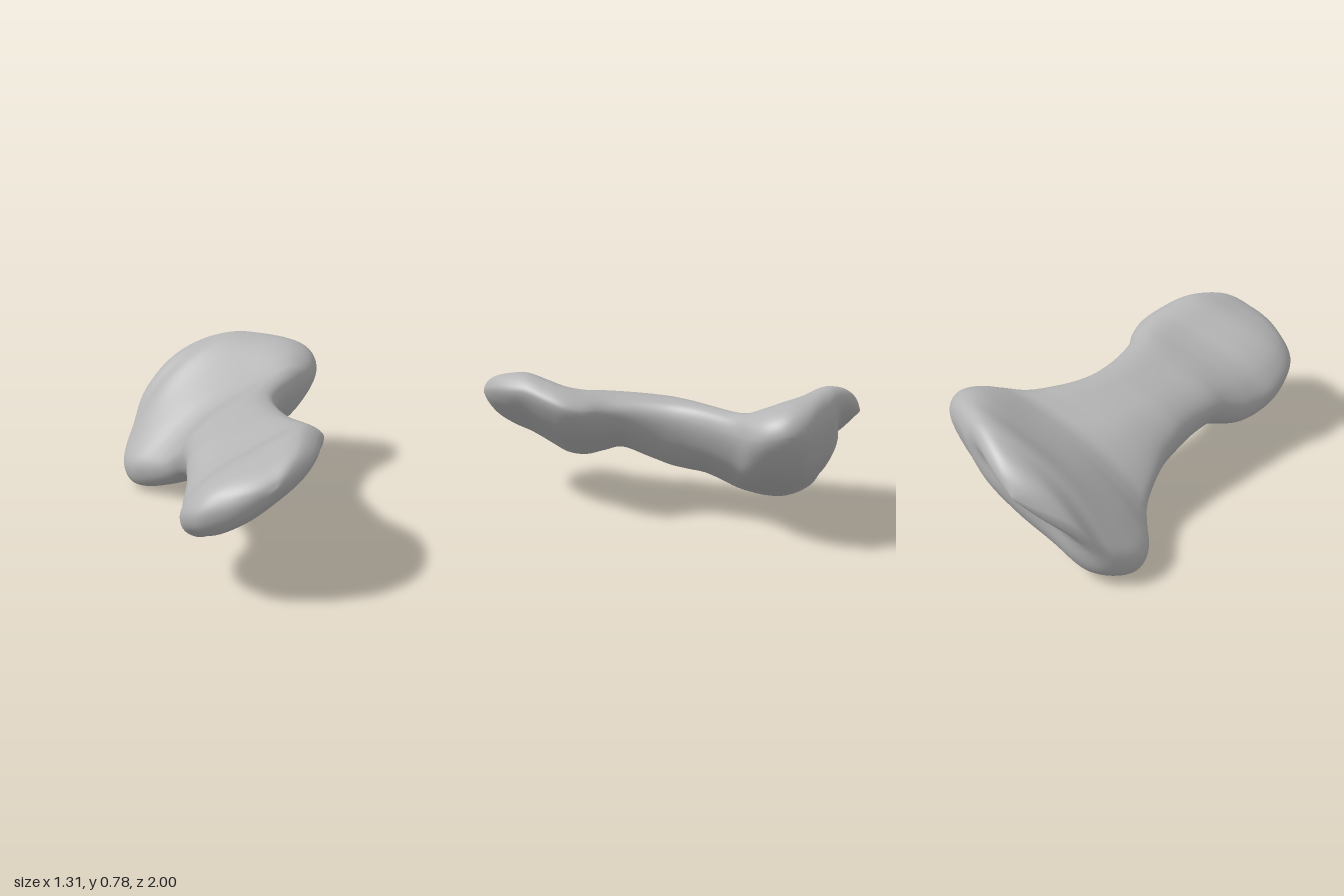
import * as THREE from 'three';

const AROUND = 72;
const STEPS = 120;

// Outlines of the front knuckle, the shaft, the flaring neck and the back joint,
// each counter-clockwise from its right-hand corner
const OUTLINES = [
  [[0.16, 0.68], [0.12, 0.735], [0.02, 0.775], [-0.22, 0.70], [-0.475, 0.59], [-0.59, 0.50],
    [-0.655, 0.39], [-0.635, 0.29], [-0.55, 0.23], [-0.4, 0.25], [-0.16, 0.37], [0.08, 0.54]],
  [[0.165, 0.58], [0.13, 0.65], [0.04, 0.67], [-0.12, 0.63], [-0.27, 0.56], [-0.35, 0.48],
    [-0.37, 0.4], [-0.33, 0.29], [-0.22, 0.23], [-0.08, 0.27], [0.05, 0.36], [0.13, 0.46]],
  [[0.65, 0.63], [0.61, 0.72], [0.47, 0.76], [0.2, 0.66], [-0.12, 0.50], [-0.38, 0.28],
    [-0.47, 0.15], [-0.44, 0.04], [-0.28, 0.01], [-0.04, 0.11], [0.27, 0.25], [0.52, 0.42]],
  [[0.65, 0.64], [0.61, 0.73], [0.48, 0.78], [0.2, 0.72], [-0.14, 0.54], [-0.4, 0.29],
    [-0.48, 0.16], [-0.44, 0.04], [-0.28, 0.0], [-0.04, 0.11], [0.27, 0.25], [0.52, 0.42]],
].map((points) => new THREE.CatmullRomCurve3(
  points.map(([x, y]) => new THREE.Vector3(x, y, 0)), true, 'centripetal'));

// Cross-sections from the front end to the back end:
// z, x min, x max, y min, y max, outline (0 knuckle, 1 shaft, 2 neck, 3 joint)
const SECTIONS = [
  [1.0, -0.34, -0.30, 0.60, 0.63, 0],
  [0.98, -0.44, -0.22, 0.53, 0.68, 0],
  [0.93, -0.54, -0.12, 0.45, 0.73, 0],
  [0.85, -0.63, -0.03, 0.38, 0.76, 0],
  [0.75, -0.655, 0.04, 0.33, 0.775, 0],
  [0.64, -0.64, 0.11, 0.27, 0.75, 0],
  [0.55, -0.595, 0.15, 0.23, 0.725, 0],
  [0.45, -0.55, 0.15, 0.23, 0.705, 0.2],
  [0.35, -0.49, 0.12, 0.27, 0.695, 0.5],
  [0.25, -0.45, 0.115, 0.305, 0.685, 0.75],
  [0.12, -0.40, 0.13, 0.27, 0.677, 0.95],
  [0.0, -0.37, 0.165, 0.23, 0.67, 1],
  [-0.1, -0.345, 0.22, 0.205, 0.665, 1.15],
  [-0.2, -0.34, 0.31, 0.18, 0.66, 1.4],
  [-0.3, -0.345, 0.43, 0.13, 0.66, 1.7],
  [-0.37, -0.365, 0.56, 0.09, 0.68, 1.9],
  [-0.45, -0.41, 0.63, 0.05, 0.72, 2],
  [-0.55, -0.47, 0.65, 0.01, 0.755, 2.1],
  [-0.65, -0.48, 0.60, 0.0, 0.77, 2.5],
  [-0.75, -0.43, 0.47, 0.04, 0.78, 2.9],
  [-0.82, -0.37, 0.38, 0.12, 0.77, 3],
  [-0.9, -0.27, 0.25, 0.34, 0.73, 3],
  [-0.96, -0.14, 0.14, 0.47, 0.67, 3],
  [-1.0, 0.01, 0.03, 0.57, 0.59, 3],
];

// Smooth blend between neighbouring sections
function sectionAt(u) {
  const last = SECTIONS.length - 1;
  const i = Math.min(Math.floor(u * last), last - 1);
  const t = u * last - i;
  const pick = (k) => SECTIONS[Math.max(0, Math.min(last, k))];
  return SECTIONS[i].map((_, c) => {
    const p0 = pick(i - 1)[c], p1 = pick(i)[c], p2 = pick(i + 1)[c], p3 = pick(i + 2)[c];
    const m1 = (p2 - p0) / 2, m2 = (p3 - p1) / 2;
    const d = p2 - p1;
    return p1 + t * (m1 + t * (3 * d - 2 * m1 - m2 + t * (m1 + m2 - 2 * d)));
  });
}

// Shallow groove across the back joint surface, between its two lips
function groove(x, y, z) {
  const v = -(x - 0.02) * 0.56 + (y - 0.45) * 0.83;
  const along = (x - 0.02) * 0.83 + (y - 0.45) * 0.56;
  const depth = THREE.MathUtils.smoothstep(-z, 0.66, 0.84);
  return 0.055 * depth * Math.exp(-((v / 0.065) ** 2) - (along / 0.38) ** 4);
}

// Blended outline, fitted to the section's limits
function ring([z, x0, x1, y0, y1, kind]) {
  const k = THREE.MathUtils.clamp(kind, 0, 3);
  const from = Math.min(Math.floor(k), 2);
  const points = [];
  for (let j = 0; j < AROUND; j++) {
    const p = OUTLINES[from].getPoint(j / AROUND);
    points.push(p.lerp(OUTLINES[from + 1].getPoint(j / AROUND), k - from));
  }
  const { min, max } = new THREE.Box3().setFromPoints(points);
  return points.map((p) => {
    const x = THREE.MathUtils.mapLinear(p.x, min.x, max.x, x0, x1);
    const y = THREE.MathUtils.mapLinear(p.y, min.y, max.y, y0, y1);
    return [x, y, z + groove(x, y, z)];
  });
}

function loftGeometry() {
  const positions = [], index = [];
  for (let i = 0; i <= STEPS; i++) {
    for (const p of ring(sectionAt(i / STEPS))) positions.push(...p);
  }
  for (let i = 0; i < STEPS; i++) {
    for (let j = 0; j < AROUND; j++) {
      const k = (j + 1) % AROUND;
      const a = i * AROUND + j, b = i * AROUND + k;
      const c = a + AROUND, d = b + AROUND;
      index.push(a, c, b, c, d, b);
    }
  }
  // Close both tips
  const front = positions.length / 3, back = front + 1;
  positions.push(-0.32, 0.615, 1.0, 0.02, 0.58, -1.0);
  const lastRing = STEPS * AROUND;
  for (let j = 0; j < AROUND; j++) {
    const k = (j + 1) % AROUND;
    index.push(front, j, k, back, lastRing + k, lastRing + j);
  }
  const geometry = new THREE.BufferGeometry();
  geometry.setAttribute('position', new THREE.Float32BufferAttribute(positions, 3));
  geometry.setIndex(index);
  geometry.computeVertexNormals();
  return geometry;
}

export function createModel() {
  const group = new THREE.Group();
  group.name = 'bone';
  const grey = new THREE.MeshStandardMaterial({ color: 0xb4b4b4 });
  grey.name = 'bone grey';
  const body = new THREE.Mesh(loftGeometry(), grey);
  body.name = 'boneBody';
  group.add(body);
  return group;
}
